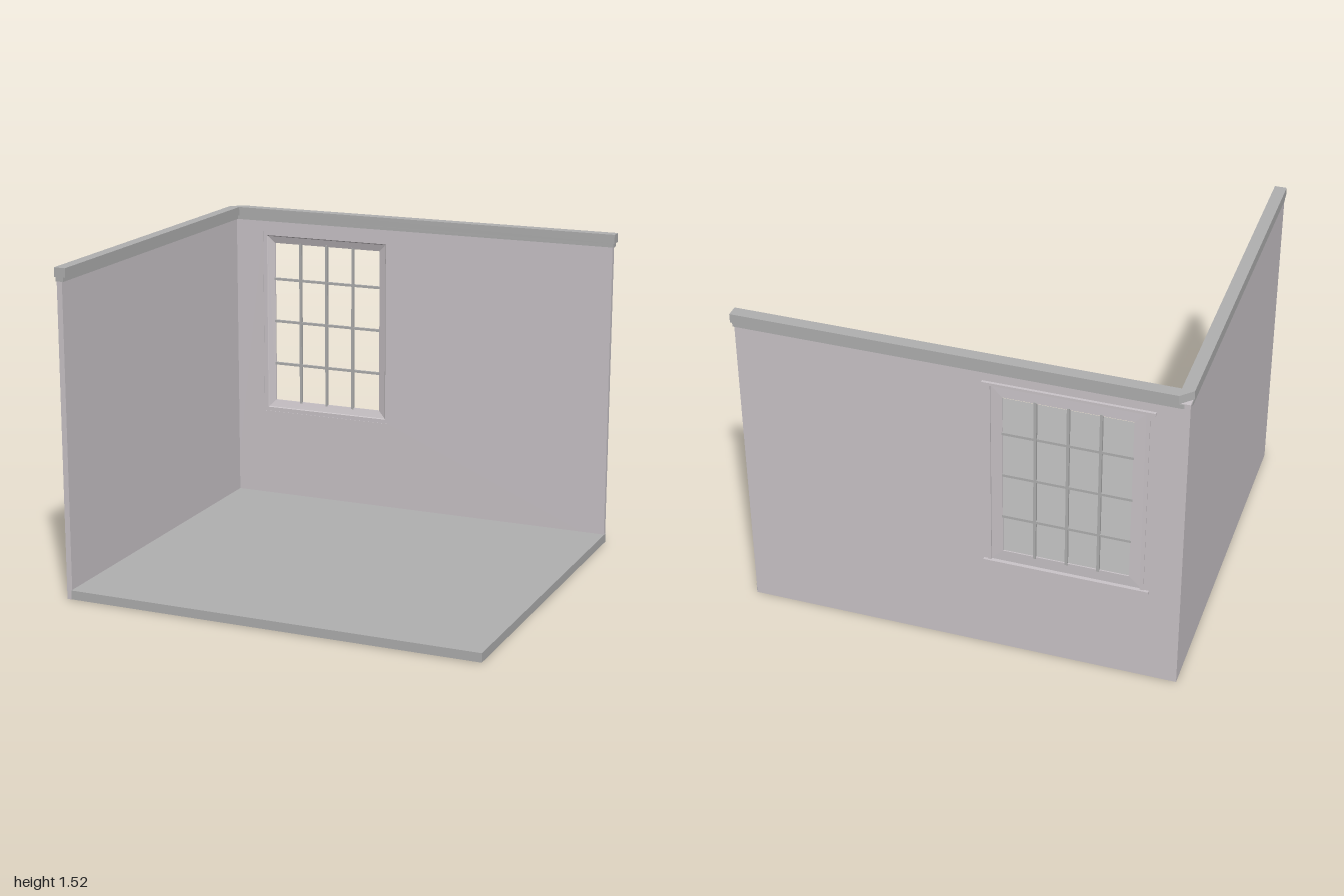
import * as THREE from 'three';

function material(name, color) {
  const m = new THREE.MeshStandardMaterial({ color });
  m.name = name;
  return m;
}

// Box given by its limits on each axis
function block(name, mat, [x0, x1], [y0, y1], [z0, z1]) {
  const mesh = new THREE.Mesh(new THREE.BoxGeometry(x1 - x0, y1 - y0, z1 - z0), mat);
  mesh.position.set((x0 + x1) / 2, (y0 + y1) / 2, (z0 + z1) / 2);
  mesh.name = name;
  return mesh;
}

function polygon(points, Type = THREE.Shape) {
  return new Type(points.map(([x, y]) => new THREE.Vector2(x, y)));
}

const rect = (x0, x1, y0, y1) => [[x0, y0], [x1, y0], [x1, y1], [x0, y1]];

// Mitred rectangular frame: a closed section of [inset, z] swept around four corners
function mitredFrame(x0, x1, y0, y1, section) {
  const rings = section.map(([d, z]) =>
    rect(x0 + d, x1 - d, y0 + d, y1 - d).map(([x, y]) => [x, y, z]));
  const pos = [];
  rings.forEach((ring, k) => {
    const next = rings[(k + 1) % rings.length];
    for (let i = 0; i < 4; i++) {
      const j = (i + 1) % 4;
      pos.push(...ring[i], ...ring[j], ...next[j], ...ring[i], ...next[j], ...next[i]);
    }
  });
  const geo = new THREE.BufferGeometry();
  geo.setAttribute('position', new THREE.Float32BufferAttribute(pos, 3));
  geo.computeVertexNormals();
  return geo;
}

// L-shaped layer of the cornice, with the outer corner cut off
function corniceLayer(name, mat, [xo, xi], [zo, zi], xEnd, zEnd, cut, y0, y1) {
  const plan = [[xo, zEnd], [xi, zEnd], [xi, zi], [xEnd, zi], [xEnd, zo], [xo + cut, zo], [xo, zo + cut]];
  const geo = new THREE.ExtrudeGeometry(polygon(plan.map(([x, z]) => [x, -z])),
    { depth: y1 - y0, bevelEnabled: false });
  geo.rotateX(-Math.PI / 2);
  const mesh = new THREE.Mesh(geo, mat);
  mesh.position.y = y0;
  mesh.name = name;
  return mesh;
}

export function createModel() {
  const model = new THREE.Group();
  model.name = 'roomCorner';
  const wallMat = material('wallPaint', 0xcbc5c9);
  const trimMat = material('greyTrim', 0xb0b0b0);

  // Floor slab
  model.add(block('floor', trimMat, [-0.97, 0.988], [0.004, 0.046], [-0.87, 0.878]));

  // Walls
  model.add(block('sideWall', wallMat, [-0.996, -0.97], [0, 1.48], [-0.848, 0.87]));
  const wallShape = polygon(rect(-0.996, 0.985, 0, 1.48));
  wallShape.holes.push(polygon(rect(-0.825, -0.143, 0.478, 1.404).reverse(), THREE.Path));
  const backWall = new THREE.Mesh(
    new THREE.ExtrudeGeometry(wallShape, { depth: 0.025, bevelEnabled: false }), wallMat);
  backWall.position.z = -0.873;
  backWall.name = 'backWall';
  model.add(backWall);

  // Stepped cornice along both walls
  model.add(corniceLayer('corniceTop', trimMat, [-1, -0.945], [-0.88, -0.825], 1, 0.883, 0.052, 1.478, 1.52));
  model.add(corniceLayer('corniceBottom', trimMat, [-0.997, -0.96], [-0.876, -0.838], 0.992, 0.876, 0.03, 1.457, 1.478));

  // Window
  const win = new THREE.Group();
  win.name = 'window';
  const frame = new THREE.Mesh(mitredFrame(-0.825, -0.143, 0.478, 1.404, [
    [0, -0.85], [0.02, -0.85], [0.024, -0.853], [0.059, -0.864], [0.059, -0.87], [0, -0.868],
  ]), wallMat);
  frame.name = 'windowFrame';
  win.add(frame);

  // Glazing bars
  for (const x of [-0.628, -0.487, -0.345])
    win.add(block('verticalBar', trimMat, [x - 0.006, x + 0.006], [0.53, 1.352], [-0.874, -0.86]));
  for (const y of [0.727, 0.946, 1.162])
    win.add(block('horizontalBar', trimMat, [-0.77, -0.2], [y - 0.006, y + 0.006], [-0.873, -0.861]));

  // Outer casing: long rails above and below, slim strips at the sides
  for (const y of [0.476, 1.41])
    win.add(block('outerRail', wallMat, [-0.857, -0.117], [y - 0.006, y + 0.006], [-0.886, -0.86]));
  for (const x of [-0.825, -0.143])
    win.add(block('outerSideStrip', wallMat, [x - 0.008, x + 0.008], [0.478, 1.408], [-0.877, -0.86]));
  model.add(win);

  return model;
}
